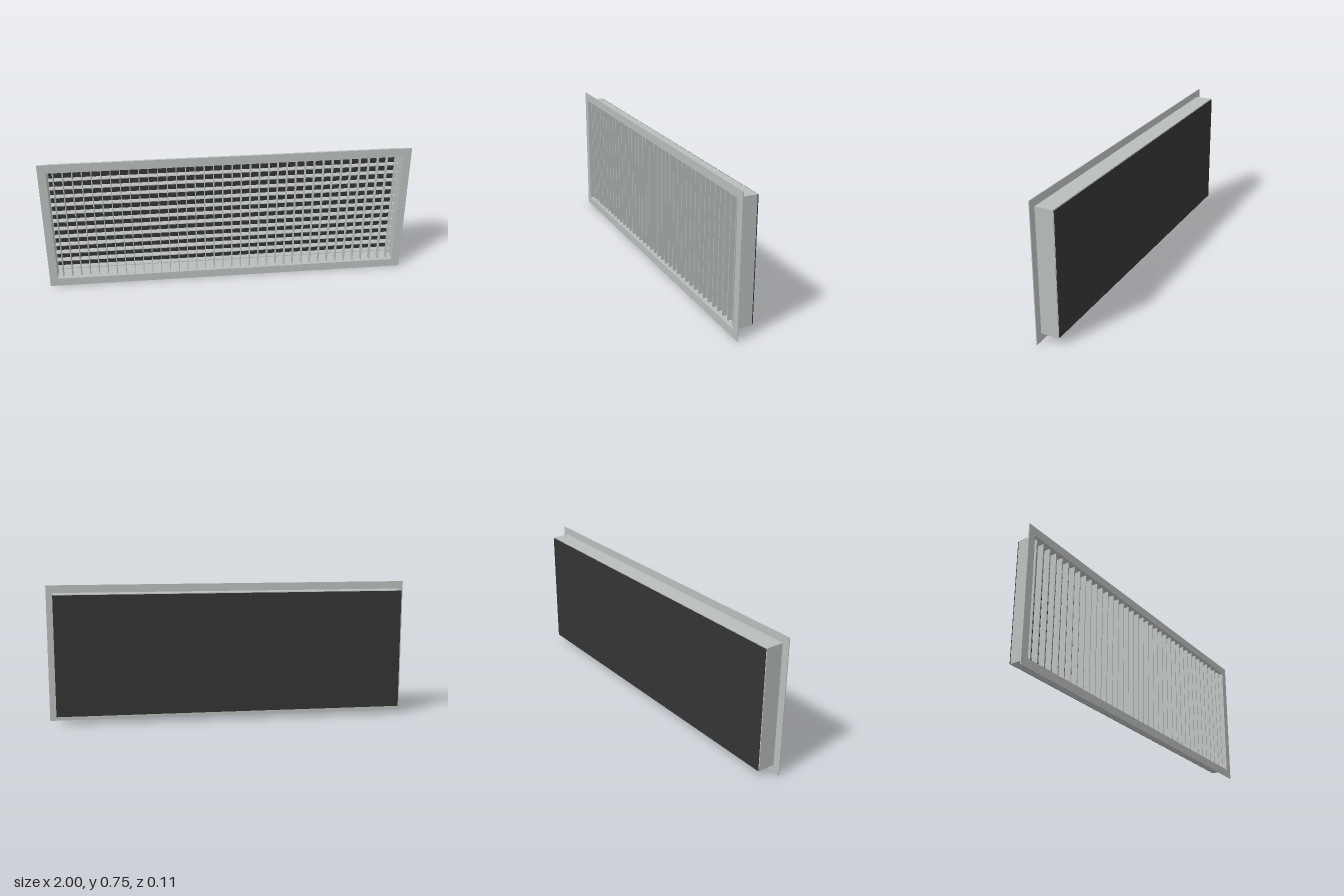
import * as THREE from 'three';

export function createModel() {
  const metal = new THREE.MeshStandardMaterial({ color: 0xb8bdbb });
  metal.name = 'greyMetal';
  const dark = new THREE.MeshStandardMaterial({ color: 0x333333 });
  dark.name = 'darkBacking';

  const model = new THREE.Group();
  model.name = 'ventGrille';
  const midY = 0.375;

  function rect(target, w, h) {
    target.moveTo(-w / 2, -h / 2);
    target.lineTo(w / 2, -h / 2);
    target.lineTo(w / 2, h / 2);
    target.lineTo(-w / 2, h / 2);
    target.closePath();
    return target;
  }

  // Rectangular ring extruded from z0 to z1
  function ring(name, w, h, holeW, holeH, z0, z1) {
    const shape = rect(new THREE.Shape(), w, h);
    shape.holes.push(rect(new THREE.Path(), holeW, holeH));
    const geo = new THREE.ExtrudeGeometry(shape, { depth: z1 - z0, bevelEnabled: false });
    const mesh = new THREE.Mesh(geo, metal);
    mesh.name = name;
    mesh.position.set(0, midY, z0);
    model.add(mesh);
  }

  function box(parent, name, size, position, material) {
    const mesh = new THREE.Mesh(new THREE.BoxGeometry(...size), material);
    mesh.name = name;
    mesh.position.set(...position);
    parent.add(mesh);
  }

  const innerW = 1.912, innerH = 0.658;

  // Front flange and the duct collar behind it
  ring('frontFlange', 2, 0.75, innerW, innerH, 0.049, 0.053);
  ring('ductCollar', 1.92, 0.666, innerW, innerH, -0.047, 0.049);

  // Dark plate closing the back, with a small gap to the collar
  box(model, 'backPlate', [1.916, 0.66, 0.003], [0, midY, -0.0515], dark);

  // Vertical blades in front
  const verticals = new THREE.Group();
  verticals.name = 'verticalBlades';
  for (let i = 0; i < 38; i++) {
    box(verticals, 'verticalBlade', [0.004, innerH, 0.035], [(i - 18.5) * 0.05, midY, 0.0225], metal);
  }
  model.add(verticals);

  // Horizontal blades behind them
  const horizontals = new THREE.Group();
  horizontals.name = 'horizontalBlades';
  for (let i = 0; i < 13; i++) {
    box(horizontals, 'horizontalBlade', [innerW, 0.004, 0.035], [0, midY + (i - 6) * 0.05, -0.0225], metal);
  }
  model.add(horizontals);

  return model;
}
